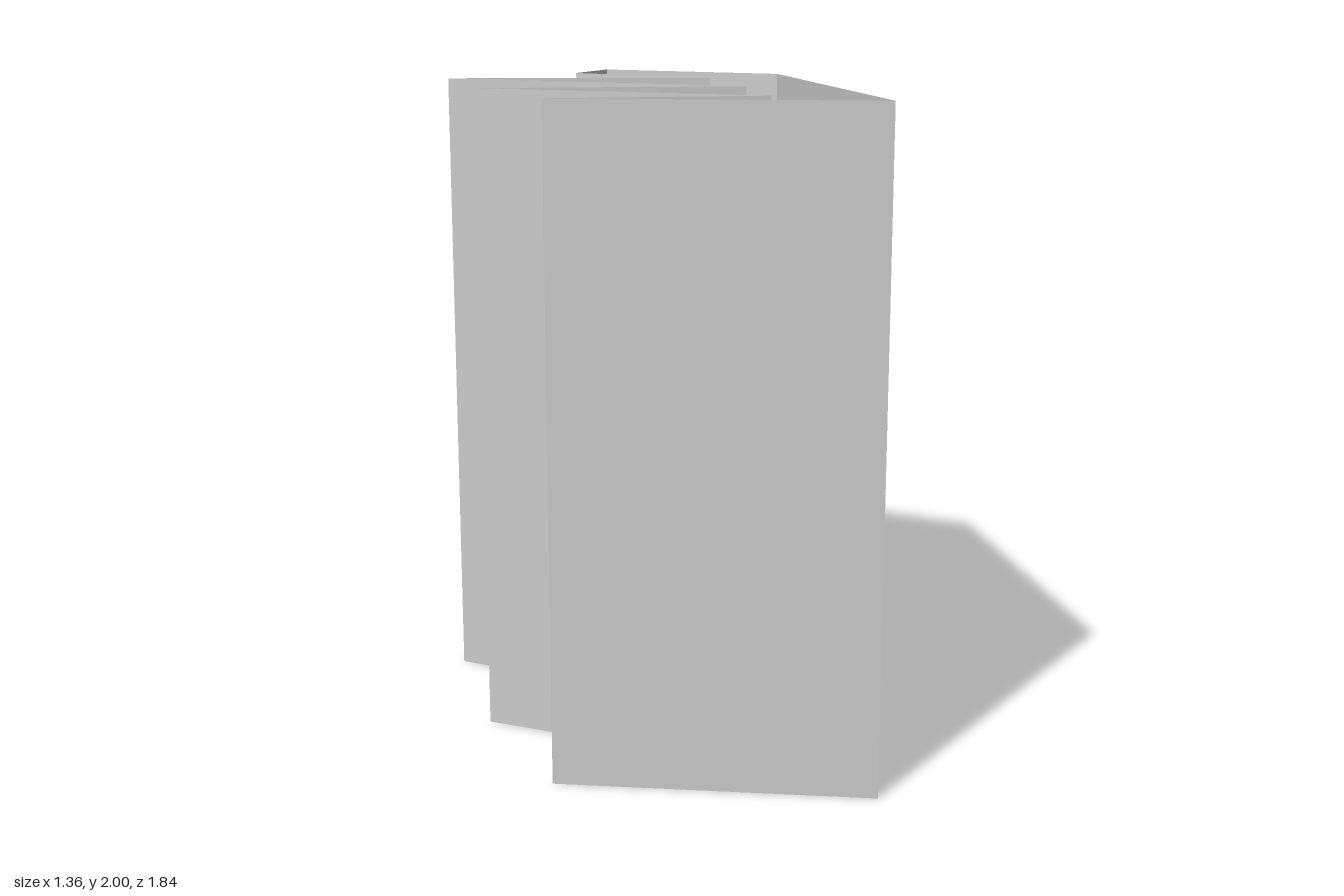
import * as THREE from 'three';

const HEIGHT = 2;

// Plan of the folded wall as [x, z], a closed ring
const PLAN = [
  [-0.68, 0.24], [-0.01, 0.92], [0.68, -0.31], [0.42, -0.92], [0.19, -0.79],
  [0.34, -0.26], [-0.33, -0.78], [0.12, 0.17], [-0.56, -0.27], [-0.12, 0.55],
];

// One upright flat panel between two plan points, facing outward
function panel([ax, az], [bx, bz], material) {
  const geometry = new THREE.PlaneGeometry(Math.hypot(bx - ax, bz - az), HEIGHT);
  const mesh = new THREE.Mesh(geometry, material);
  mesh.position.set((ax + bx) / 2, HEIGHT / 2, (az + bz) / 2);
  mesh.rotation.y = Math.atan2(az - bz, bx - ax);
  return mesh;
}

export function createModel() {
  const model = new THREE.Group();
  model.name = 'foldedScreen';
  const material = new THREE.MeshStandardMaterial({
    color: 0xcccccc, flatShading: true, side: THREE.DoubleSide,
  });

  // Thin walls only: the ring is open at top and bottom
  PLAN.forEach((point, i) => {
    const wall = panel(point, PLAN[(i + 1) % PLAN.length], material);
    wall.name = i < 4 ? `outerPanel${i + 1}` : `pleatPanel${i - 3}`;
    model.add(wall);
  });
  return model;
}
